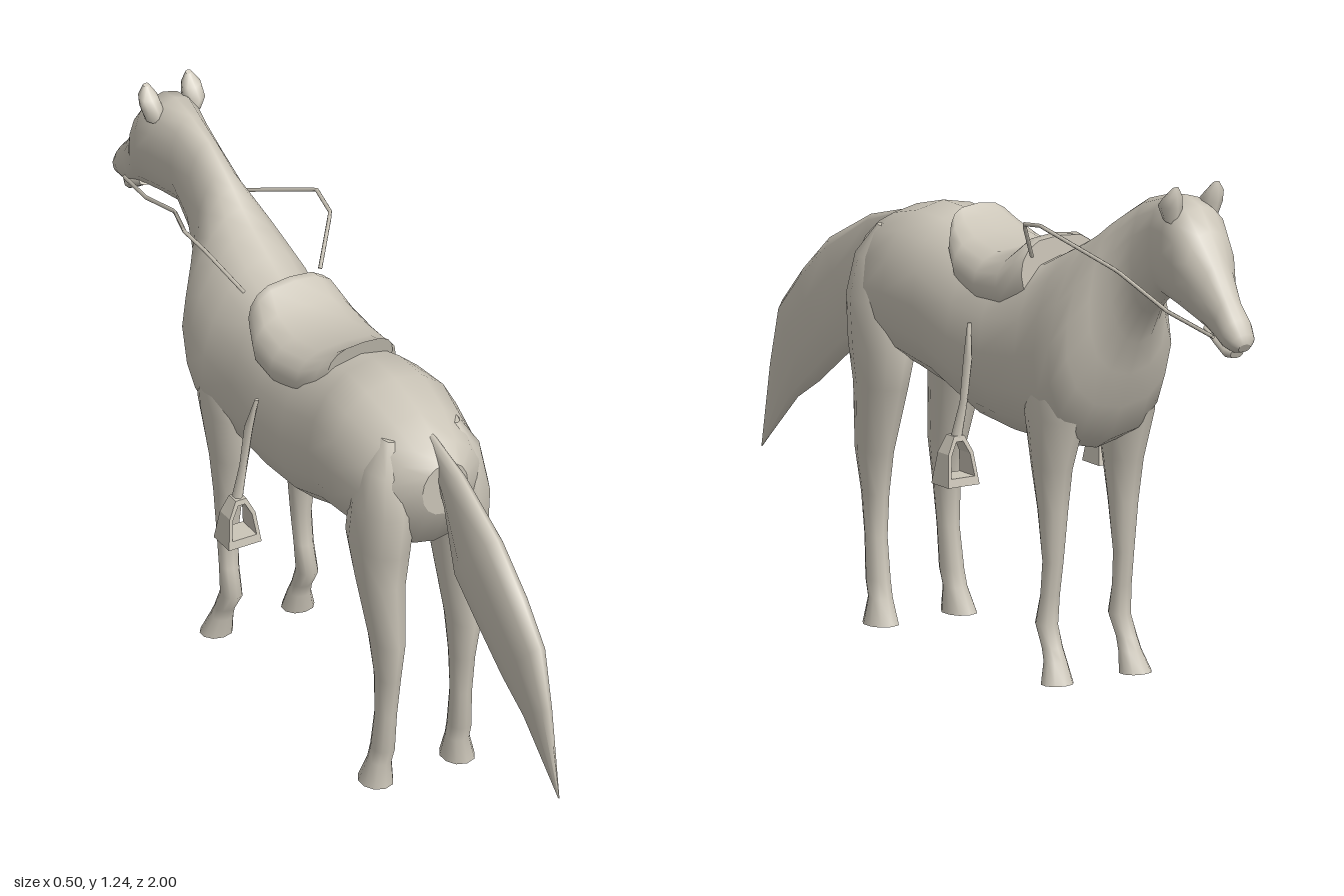
import * as THREE from 'three';

const hide = new THREE.MeshStandardMaterial({ color: 0xcbc5b8 });
hide.name = 'stone beige';
hide.side = THREE.DoubleSide;

// Skin over rings; each ring is [z1, y1, z2, y2, halfWidth, lowerBias, centreX],
// an oval spanning the two profile points (z1, y1) and (z2, y2).
function loft(name, rings, sides = 14, power = 0.9) {
  const pos = [], idx = [];
  const addRing = ([z1, y1, z2, y2, w, k = 0, cx = 0]) => {
    for (let j = 0; j < sides; j++) {
      const a = (j / sides) * Math.PI * 2, c = Math.cos(a), s = Math.sin(a);
      const x = w * Math.sign(s) * Math.pow(Math.abs(s), power) * (1 - k * c);
      pos.push(cx + x, (y1 + y2) / 2 + ((y1 - y2) / 2) * c, (z1 + z2) / 2 + ((z1 - z2) / 2) * c);
    }
  };
  rings.forEach(addRing);
  for (let i = 0; i < rings.length - 1; i++) {
    for (let j = 0; j < sides; j++) {
      const a = i * sides + j, b = i * sides + ((j + 1) % sides);
      idx.push(a, b, a + sides, b, b + sides, a + sides);
    }
  }
  // end caps with their own vertices so the rims stay sharp
  [rings[0], rings[rings.length - 1]].forEach((r, end) => {
    const start = pos.length / 3;
    addRing(r);
    pos.push(r[6] || 0, (r[1] + r[3]) / 2, (r[0] + r[2]) / 2);
    for (let j = 0; j < sides; j++) {
      const a = start + j, b = start + ((j + 1) % sides), c = start + sides;
      if (end) idx.push(a, b, c); else idx.push(b, a, c);
    }
  });
  const geo = new THREE.BufferGeometry();
  geo.setAttribute('position', new THREE.Float32BufferAttribute(pos, 3));
  geo.setIndex(idx);
  geo.computeVertexNormals();
  return mesh(name, geo);
}

function mesh(name, geo) {
  const m = new THREE.Mesh(geo, hide);
  m.name = name;
  return m;
}

// Leg rows are [y, frontZ, backZ, innerX, outerX]
function leg(name, rows, side) {
  return loft(name, rows.map(([y, f, b, i, o]) =>
    [f, y, b, y, (o - i) / 2, 0, side * (i + o) / 2]), 10);
}

function stirrup(side) {
  const g = new THREE.Group();
  g.name = 'stirrup';
  // hanging strap
  g.add(loft('stirrupStrap', [
    [-0.105, 0.8, -0.095, 0.8, 0.005, 0, side * 0.162],
    [-0.13, 0.72, -0.098, 0.72, 0.008, 0, side * 0.176],
    [-0.127, 0.62, -0.105, 0.62, 0.008, 0, side * 0.189],
    [-0.128, 0.54, -0.098, 0.54, 0.012, 0, side * 0.207],
  ], 6));
  // foot frame, deeper towards the tread
  const path = (Type, pts) => new Type(pts.map(([x, y]) => new THREE.Vector2(x, y)));
  const frame = path(THREE.Shape, [[-0.043, 0], [0.043, 0], [0.034, 0.075], [0.014, 0.115], [-0.014, 0.115], [-0.034, 0.075]]);
  frame.holes.push(path(THREE.Path, [[-0.032, 0.02], [-0.025, 0.072], [-0.009, 0.102], [0.009, 0.102], [0.025, 0.072], [0.032, 0.02]]));
  const geo = new THREE.ExtrudeGeometry(frame, { depth: 0.07, bevelEnabled: false });
  geo.translate(0, 0, -0.035);
  const p = geo.attributes.position;
  for (let i = 0; i < p.count; i++) p.setZ(i, p.getZ(i) * (1 - p.getY(i) * 4.8));
  geo.translate(side * 0.207, 0.43, -0.11);
  geo.computeVertexNormals();
  g.add(mesh('stirrupFrame', geo));
  return g;
}

export function createModel() {
  const model = new THREE.Group();
  model.name = 'saddledHorse';

  // rump, barrel, neck and head in one skin
  model.add(loft('body', [
    [0.482, 0.895, 0.478, 0.76, 0.06],
    [0.44, 0.93, 0.43, 0.66, 0.122],
    [0.36, 0.97, 0.34, 0.62, 0.155],
    [0.25, 1.0, 0.24, 0.61, 0.175],
    [0.15, 1.0, 0.12, 0.585, 0.164],
    [0.0, 0.95, 0.0, 0.542, 0.16],
    [-0.12, 0.94, -0.14, 0.53, 0.158],
    [-0.24, 0.965, -0.27, 0.53, 0.143, 0.1],
    [-0.33, 1.01, -0.38, 0.54, 0.157, 0.15],
    [-0.4, 1.045, -0.435, 0.57, 0.156, 0.25],
    [-0.45, 1.075, -0.485, 0.655, 0.138, 0.3],
    [-0.49, 1.105, -0.52, 0.74, 0.103, 0.25],
    [-0.53, 1.13, -0.555, 0.82, 0.072, 0.15],
    [-0.6, 1.17, -0.61, 0.9, 0.056, 0.1],
    [-0.68, 1.195, -0.68, 0.96, 0.056],
    [-0.75, 1.207, -0.76, 0.945, 0.072, -0.1],
    [-0.81, 1.19, -0.8, 0.935, 0.077, -0.15],
    [-0.85, 1.14, -0.85, 0.92, 0.066, -0.15],
    [-0.89, 1.075, -0.885, 0.905, 0.047],
    [-0.94, 1.0, -0.91, 0.892, 0.037],
    [-0.977, 0.957, -0.94, 0.882, 0.04],
    [-0.997, 0.925, -0.968, 0.878, 0.032],
    [-0.997, 0.902, -0.985, 0.882, 0.016],
  ], 16));

  // lower jaw and lip
  model.add(loft('lowerLip', [
    [-0.87, 0.93, -0.86, 0.912, 0.03],
    [-0.915, 0.91, -0.905, 0.882, 0.03],
    [-0.945, 0.895, -0.935, 0.86, 0.027],
    [-0.965, 0.885, -0.955, 0.862, 0.018],
  ], 10));

  // sweeping tail
  model.add(loft('tail', [
    [0.44, 0.86, 0.42, 0.945, 0.012],
    [0.495, 0.78, 0.55, 0.908, 0.024],
    [0.545, 0.63, 0.72, 0.82, 0.037],
    [0.66, 0.55, 0.83, 0.725, 0.039],
    [0.76, 0.475, 0.915, 0.635, 0.034],
    [0.85, 0.42, 0.955, 0.49, 0.022],
    [0.995, 0.28, 1.0, 0.275, 0.002],
  ], 10));

  // saddle close to the back, with raised rear edge and pommel
  model.add(loft('saddle', [
    [0.108, 1.02, 0.075, 0.9, 0.085],
    [0.08, 0.998, 0.06, 0.87, 0.106],
    [0.02, 0.973, 0.02, 0.83, 0.128],
    [-0.08, 0.957, -0.08, 0.81, 0.139],
    [-0.16, 0.972, -0.17, 0.81, 0.134],
    [-0.205, 1.012, -0.215, 0.83, 0.118],
    [-0.23, 1.01, -0.235, 0.85, 0.108],
  ], 16, 0.65));

  const hind = [
    [0.93, 0.32, 0.39, 0.07, 0.1], [0.86, 0.29, 0.44, 0.045, 0.145],
    [0.76, 0.265, 0.463, 0.035, 0.164], [0.65, 0.25, 0.45, 0.04, 0.166],
    [0.56, 0.275, 0.436, 0.05, 0.155], [0.4, 0.328, 0.443, 0.063, 0.137],
    [0.3, 0.345, 0.425, 0.07, 0.126], [0.2, 0.35, 0.41, 0.074, 0.124],
    [0.1, 0.335, 0.402, 0.074, 0.128], [0.06, 0.325, 0.388, 0.075, 0.13],
    [0, 0.3, 0.395, 0.068, 0.147],
  ];
  const fore = [
    [0.84, -0.45, -0.33, 0.05, 0.11], [0.74, -0.468, -0.275, 0.035, 0.148],
    [0.62, -0.442, -0.262, 0.04, 0.152],
    [0.5, -0.4, -0.285, 0.055, 0.14], [0.4, -0.385, -0.305, 0.063, 0.13],
    [0.28, -0.372, -0.322, 0.072, 0.122], [0.2, -0.36, -0.315, 0.075, 0.122],
    [0.13, -0.355, -0.295, 0.075, 0.125], [0.08, -0.375, -0.328, 0.077, 0.127],
    [0.05, -0.392, -0.337, 0.075, 0.13], [0, -0.415, -0.345, 0.068, 0.147],
  ];

  for (const side of [1, -1]) {
    const label = side > 0 ? 'left' : 'right';
    model.add(leg(label + 'HindLeg', hind, side));
    model.add(leg(label + 'ForeLeg', fore, side));

    // pricked ear
    model.add(loft(label + 'Ear', [
      [-0.79, 1.15, -0.74, 1.16, 0.018, 0, side * 0.05],
      [-0.8, 1.19, -0.735, 1.19, 0.026, 0, side * 0.055],
      [-0.8, 1.218, -0.76, 1.21, 0.024, 0, side * 0.057],
      [-0.795, 1.24, -0.785, 1.235, 0.008, 0, side * 0.056],
    ], 8));

    // rein from the mouth to the pommel
    const pts = [[0.038, 0.91, -0.92], [0.066, 0.945, -0.77], [0.09, 1.01, -0.6],
      [0.175, 1.09, -0.41], [0.165, 1.077, -0.33], [0.1, 0.98, -0.265]];
    const curve = new THREE.CurvePath();
    const v = pts.map(([x, y, z]) => new THREE.Vector3(side * x, y, z));
    for (let i = 0; i < v.length - 1; i++) curve.add(new THREE.LineCurve3(v[i], v[i + 1]));
    model.add(mesh(label + 'Rein', new THREE.TubeGeometry(curve, 40, 0.005, 5)));

    model.add(stirrup(side));
  }
  return model;
}
